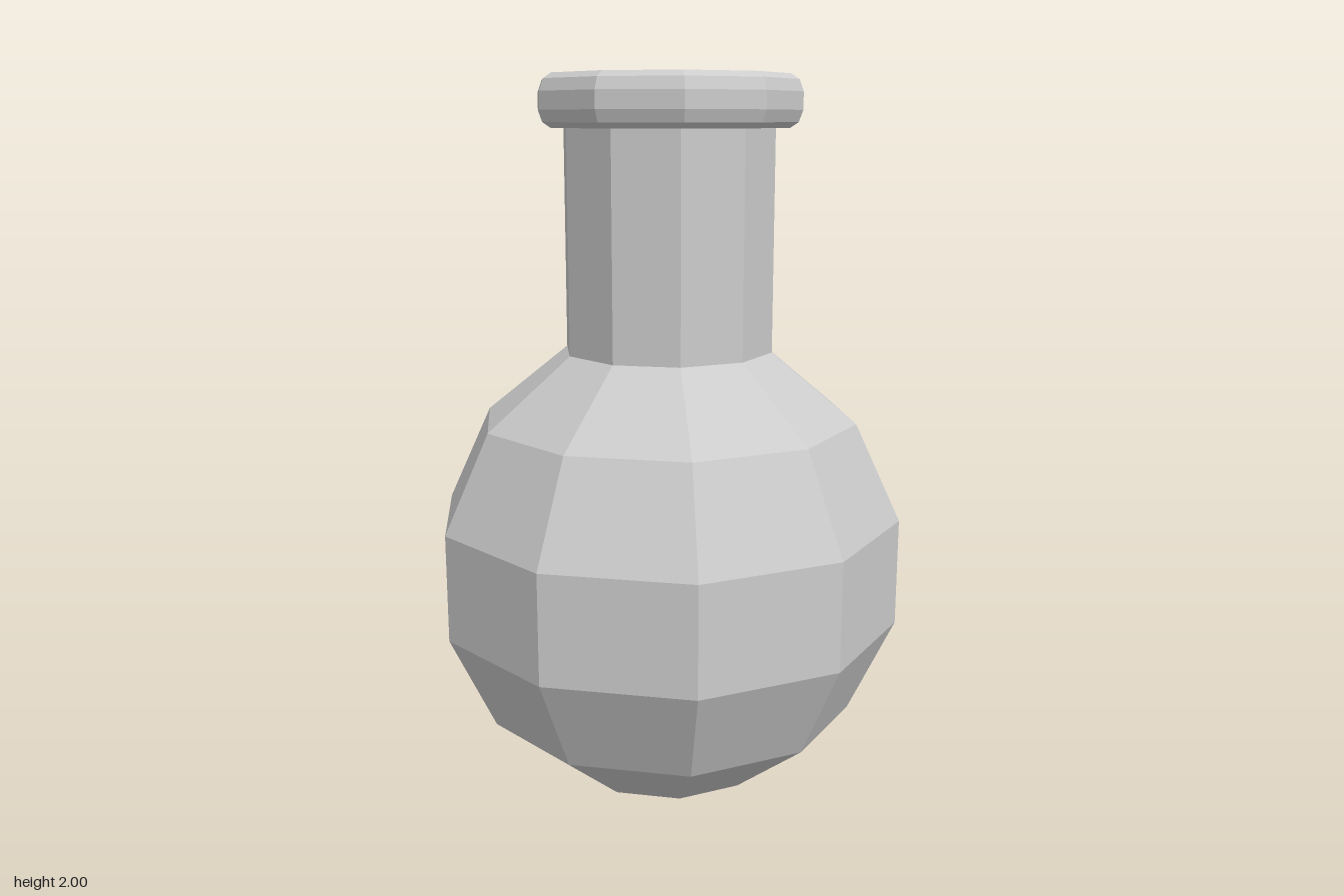
import * as THREE from 'three';

const SIDES = 10;
const material = new THREE.MeshStandardMaterial({ color: 0xcccccc, flatShading: true });

// Ten-sided turned part from [radius, height] pairs, outside listed bottom to top
function turned(name, profile) {
  const points = profile.map(([r, y]) => new THREE.Vector2(r, y));
  const mesh = new THREE.Mesh(new THREE.LatheGeometry(points, SIDES), material);
  mesh.name = name;
  return mesh;
}

export function createModel() {
  const flask = new THREE.Group();
  flask.name = 'flask';

  // Outer wall: flat base, round bulb, straight neck
  flask.add(turned('outerWall', [
    [0, 0], [0.297, 0], [0.538, 0.195], [0.667, 0.47], [0.667, 0.775],
    [0.538, 1.05], [0.297, 1.245], [0.297, 1.86],
  ]));

  // Rounded lip around the mouth, bevelled into the neck
  flask.add(turned('lip', [
    [0.297, 1.86], [0.335, 1.858], [0.358, 1.873], [0.37, 1.905], [0.37, 1.953],
    [0.358, 1.985], [0.335, 2], [0.298, 2], [0.277, 1.992], [0.264, 1.97],
  ]));

  // Inner wall: from the mouth down to the floor
  flask.add(turned('innerWall', [
    [0.264, 1.97], [0.264, 1.23], [0.513, 1.027], [0.635, 0.768],
    [0.635, 0.477], [0.513, 0.218], [0.285, 0.032], [0, 0.032],
  ]));

  return flask;
}
